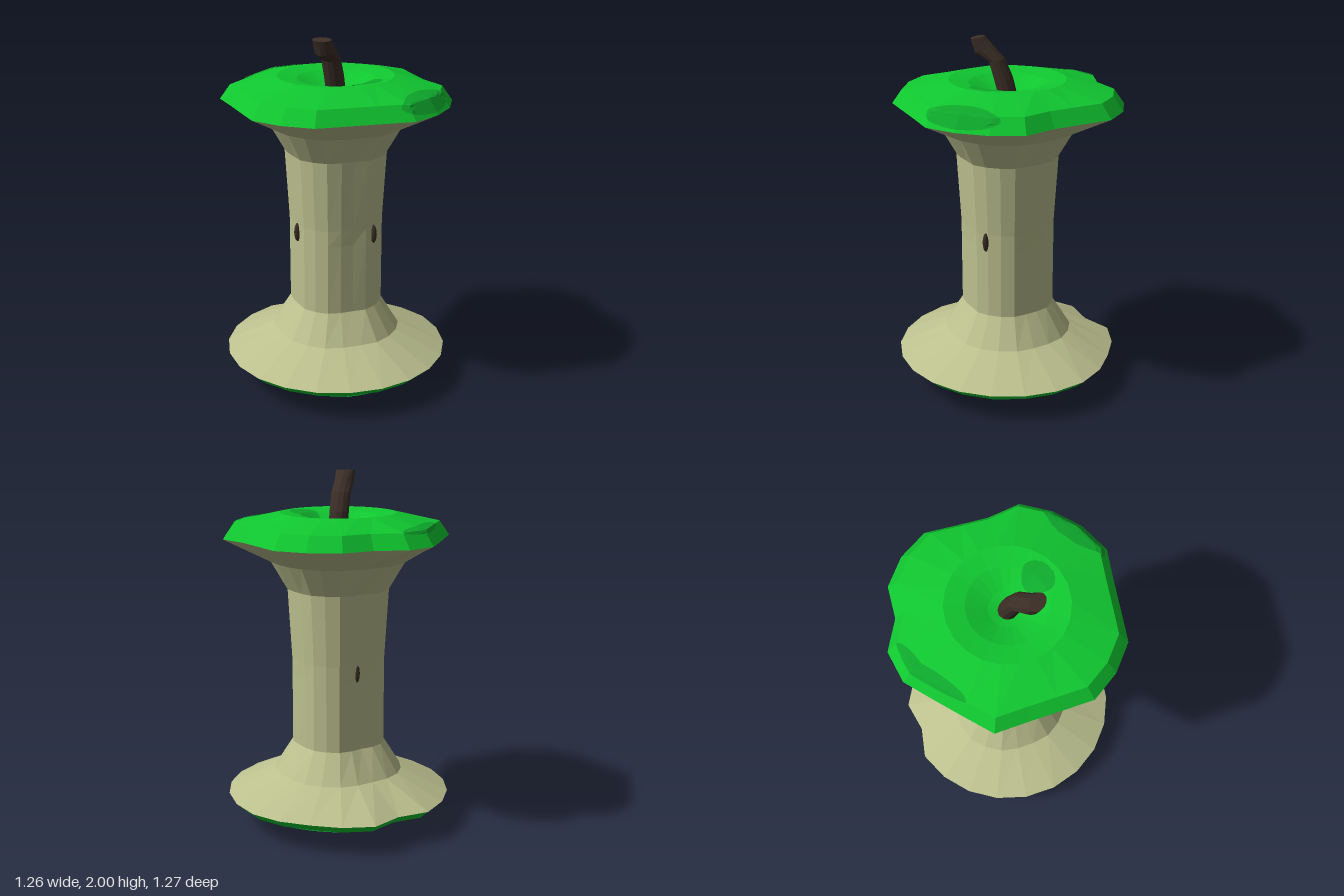
import * as THREE from 'three';

const SIDES = 22;
const angle = k => ((k + 0.5) / SIDES) * Math.PI * 2;

function material(name, color, side = THREE.FrontSide) {
  const m = new THREE.MeshStandardMaterial({ color, side });
  m.name = name;
  return m;
}

// Joins closed rows of points, listed from bottom to top, into faceted panels
function loft(rows) {
  const pts = [];
  for (let i = 0; i < rows.length - 1; i++) {
    const n = rows[i].length;
    for (let k = 0; k < n; k++) {
      const j = (k + 1) % n;
      const a = rows[i][k], b = rows[i][j], c = rows[i + 1][j], d = rows[i + 1][k];
      pts.push(a, d, b, b, d, c);
    }
  }
  const g = new THREE.BufferGeometry().setFromPoints(pts);
  g.computeVertexNormals();
  return g;
}

// A ring round the vertical axis; radius is a function of the side number
function ring(y, radius) {
  return Array.from({ length: SIDES }, (_, k) => {
    const r = typeof radius === 'function' ? radius(k) : radius;
    return new THREE.Vector3(r * Math.cos(angle(k)), y, r * Math.sin(angle(k)));
  });
}

// Point on lofted rows at fractional side k and fractional row v
function surfacePoint(rows, k, v) {
  k = (k + 2 * SIDES) % SIDES;
  const k0 = Math.floor(k), k1 = (k0 + 1) % SIDES;
  const v0 = Math.min(Math.floor(v), rows.length - 2);
  const at = i => rows[i][k0].clone().lerp(rows[i][k1], k - k0);
  return at(v0).lerp(at(v0 + 1), v - v0);
}

// Thin oval blemish following the skin
function patch(rows, k, v, dk, dv, lift) {
  const loops = [];
  for (let i = 0; i <= 5; i++) {
    loops.push(Array.from({ length: 20 }, (_, j) => {
      const t = (j / 20) * Math.PI * 2, s = i / 5;
      const p = surfacePoint(rows, k + dk * s * Math.cos(t), v + dv * s * Math.sin(t));
      p.x *= 1.006;
      p.z *= 1.006;
      p.y += lift;
      return p;
    }));
  }
  return loft(loops);
}

export function createModel() {
  const group = new THREE.Group();
  const skin = material('green skin', 0x10c830);
  const dark = material('dark green blemish', 0x0eaa2c, THREE.DoubleSide);
  const flesh = material('pale flesh', 0xbcc08e);
  const brown = material('stem brown', 0x3b2e26);
  const seedBrown = material('seed brown', 0x3a2e25);
  const add = (name, geometry, mat) => {
    const mesh = new THREE.Mesh(geometry, mat);
    mesh.name = name;
    group.add(mesh);
    return mesh;
  };

  // Bitten outlines, one radius per side
  const top = [.635, .635, .58, .58, .63, .63, .63, .58, .58, .635, .586,
    .586, .635, .638, .572, .635, .64, .635, .57, .56, .635, .635];
  const base = Array(SIDES).fill(.635);
  base[13] = .575; base[15] = .62; base[16] = .605; base[17] = .62;
  const dent = Array(SIDES).fill(1);
  Object.assign(dent, { 2: .93, 3: .95, 7: .94, 8: .95, 12: .95, 13: .88, 14: .93, 18: .96, 19: .95 });
  const topEdge = s => k => top[k] * s;
  const baseEdge = s => k => base[k] * s;
  const core = (r, amount = 1) => k => r * (1 + (dent[k] - 1) * amount);

  // Top cap of skin with a dimple
  const topRows = [
    ring(1.64, topEdge(1)), ring(1.72, topEdge(.91)), ring(1.777, .322),
    ring(1.76, .215), ring(1.715, .1), ring(1.69, 0),
  ];
  add('topSkin', loft(topRows), skin);

  // Bottom cap of skin with a dimple
  const bottomRows = [
    ring(.045, 0), ring(.04, .08), ring(.012, .14), ring(.002, .23),
    ring(.13, baseEdge(.92)), ring(.177, baseEdge(1)),
  ];
  add('bottomSkin', loft(bottomRows), skin);

  // Eaten core flaring to both caps
  add('core', loft([
    ring(.177, baseEdge(1)), ring(.305, core(.365, .6)), ring(.47, core(.262)),
    ring(.87, core(.262, 1.1)), ring(.96, core(.262, .9)), ring(1.355, core(.285)),
    ring(1.51, core(.375, .6)), ring(1.64, topEdge(1)),
  ]), flesh);

  // Blemishes on the skin: side, row, half sizes
  for (const [k, v, dk, dv] of [[.4, 3, 1.5, .75], [0, .75, 1.3, .6], [11.5, 1, 1.5, .25]]) {
    add('topBlemish', patch(topRows, k, v, dk, dv, .004), dark);
  }
  for (const [k, v, dk, dv] of [[16, 3.75, .9, .15], [10.5, 3.5, 1, .15], [3, 3.85, 1, .12]]) {
    add('bottomBlemish', patch(bottomRows, k, v, dk, dv, -.004), dark);
  }

  // Bent stem: front z, front y, back z, back y of each cut
  const cuts = [[.05, 1.68, -.055, 1.68], [.077, 1.78, -.03, 1.78], [.102, 1.865, .018, 1.885],
    [.18, 1.908, .08, 1.95], [.205, 1.988, .13, 2]];
  const stemRows = cuts.map(([fz, fy, bz, by]) => Array.from({ length: 12 }, (_, j) => {
    const t = (j / 12) * Math.PI * 2, s = (1 + Math.cos(t)) / 2;
    return new THREE.Vector3(-.055 * Math.sin(t), by + (fy - by) * s, bz + (fz - bz) * s);
  }));
  stemRows.push(Array(12).fill(new THREE.Vector3(0, 1.994, .1675)));
  add('stem', loft(stemRows), brown);

  // Seeds half sunk in the core
  for (const [x, z] of [[-.135, .207], [.255, .05], [-.148, -.168]]) {
    const seed = add('seed', new THREE.SphereGeometry(1, 10, 8), seedBrown);
    seed.scale.set(.017, .055, .022);
    seed.position.set(x, .912, z);
    seed.rotation.y = Math.atan2(x, z);
  }
  return group;
}
